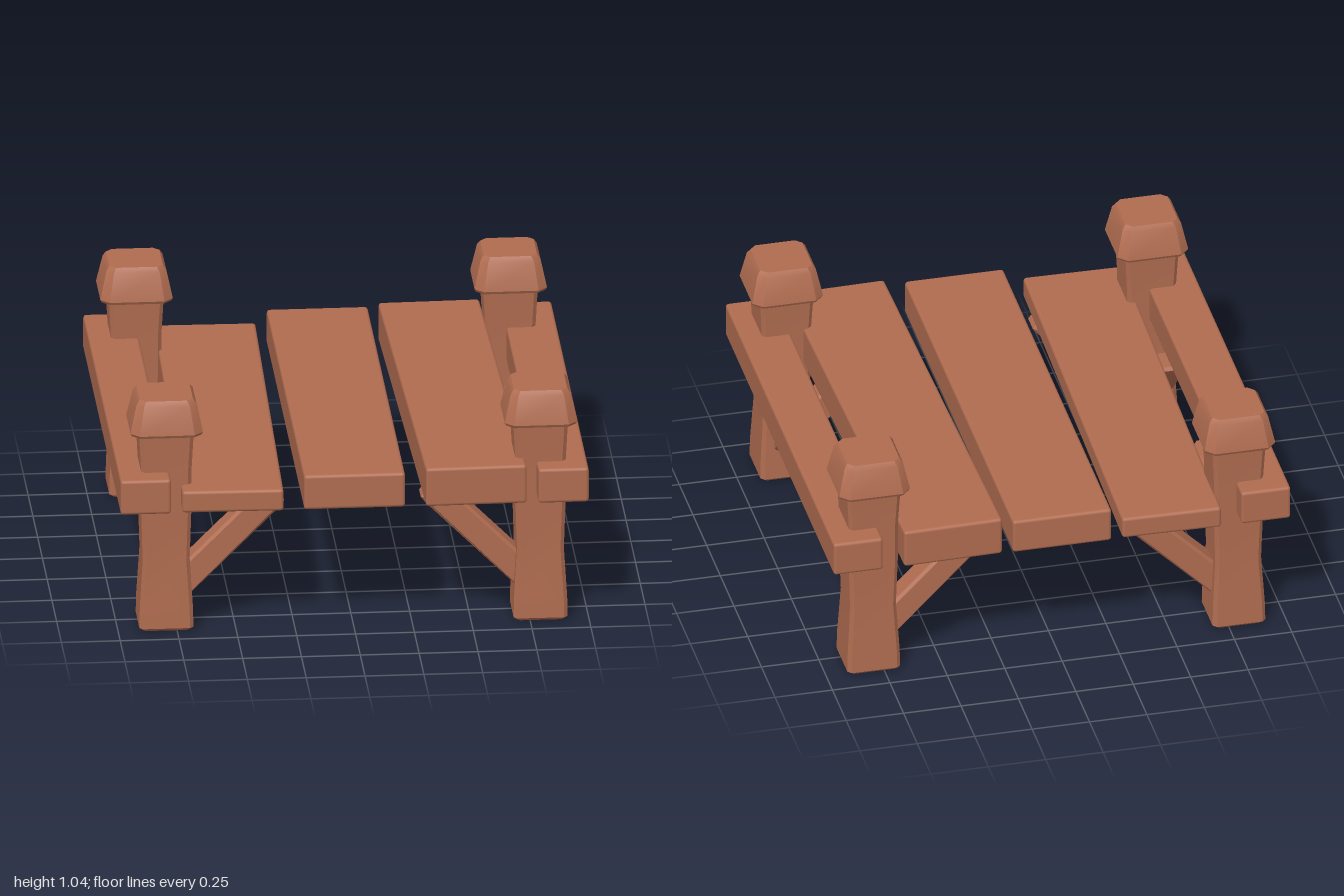
import * as THREE from 'three';
import { toCreasedNormals } from 'three/addons/utils/BufferGeometryUtils.js';
import { RoundedBoxGeometry } from 'three/addons/geometries/RoundedBoxGeometry.js';

// Stacks square cross-sections with cut corners; each ring is [y, half width, corner cut]
function loftSquare(rings) {
  const pos = [], idx = [];
  for (const [y, h, c] of rings) {
    const k = h - c;
    for (const [x, z] of [[h, -k], [h, k], [k, h], [-k, h], [-h, k], [-h, -k], [-k, -h], [k, -h]]) pos.push(x, y, z);
  }
  const last = (rings.length - 1) * 8, bottom = rings.length * 8, top = bottom + 1;
  pos.push(0, rings[0][0], 0, 0, rings[rings.length - 1][0], 0);
  for (let i = 0; i < 8; i++) {
    const j = (i + 1) % 8;
    for (let r = 0; r < last; r += 8) {
      idx.push(r + i, r + 8 + i, r + j, r + j, r + 8 + i, r + 8 + j);
    }
    idx.push(bottom, i, j, top, last + j, last + i);
  }
  const g = new THREE.BufferGeometry();
  g.setAttribute('position', new THREE.Float32BufferAttribute(pos, 3));
  g.setIndex(idx);
  return toCreasedNormals(g, 0.6);
}

export function createModel() {
  const model = new THREE.Group();
  model.name = 'woodenDock';
  const wood = new THREE.MeshStandardMaterial({ color: 0xb06c50 });
  wood.name = 'reddish brown wood';

  function add(parent, name, geometry, x = 0, y = 0, z = 0, turn = 0) {
    const mesh = new THREE.Mesh(geometry, wood);
    mesh.name = name;
    mesh.position.set(x, y, z);
    mesh.rotation.y = turn;
    parent.add(mesh);
  }

  // Deck planks: the outer two are slightly askew and differ in thickness
  const base = 0.565;
  for (const [name, x, width, height, turn] of [
    ['rightPlank', -0.5, 0.43, 0.097, -0.02],
    ['middlePlank', -0.003, 0.43, 0.155, 0],
    ['leftPlank', 0.493, 0.43, 0.173, 0.022],
  ]) {
    add(model, name, new RoundedBoxGeometry(width, height, 1.985, 2, 0.014), x, base + height / 2, 0, turn);
  }

  // Side rails
  const rail = new RoundedBoxGeometry(0.215, 0.155, 1.99, 2, 0.014);
  add(model, 'rightRail', rail, -0.89, base + 0.0775, 0);
  add(model, 'leftRail', rail, 0.885, base + 0.0775, 0);

  // Posts with a slight waist, and tapered caps
  const post = loftSquare([
    [0, 0.1, 0.014], [0.014, 0.115, 0.016], [0.1, 0.113, 0.016], [0.32, 0.1, 0.016],
    [0.55, 0.107, 0.016], [0.72, 0.107, 0.016], [0.91, 0.117, 0.016],
  ]);
  const cap = loftSquare([
    [0.89, 0.148, 0.036], [0.902, 0.154, 0.038], [1.025, 0.127, 0.03], [1.045, 0.113, 0.026],
  ]);

  // Diagonal brace, running inward from the post centre along +x
  const outline = [[0.06, 0.1], [0.485, 0.525], [0.505, 0.552], [0.495, 0.567], [0.38, 0.567], [0.335, 0.54], [0.06, 0.265]];
  const brace = new THREE.ExtrudeGeometry(new THREE.Shape(outline.map(([x, y]) => new THREE.Vector2(x, y))), {
    depth: 0.086, bevelEnabled: true, bevelThickness: 0.012, bevelSize: 0.012, bevelOffset: -0.012, bevelSegments: 1,
  });
  brace.translate(0, 0, -0.043);

  // The four corners, each with a post, a cap and two braces
  for (const sx of [-1, 1]) {
    for (const sz of [-1, 1]) {
      const corner = new THREE.Group();
      corner.name = (sz > 0 ? 'front' : 'back') + (sx > 0 ? 'Left' : 'Right') + 'Corner';
      corner.position.set(sx * 0.795, 0, sz * 0.795);
      add(corner, 'post', post);
      add(corner, 'postCap', cap);
      add(corner, 'crossBrace', brace, 0, 0, 0, sx > 0 ? Math.PI : 0);
      add(corner, 'railBrace', brace, 0, 0, 0, sz * Math.PI / 2);
      model.add(corner);
    }
  }
  return model;
}
